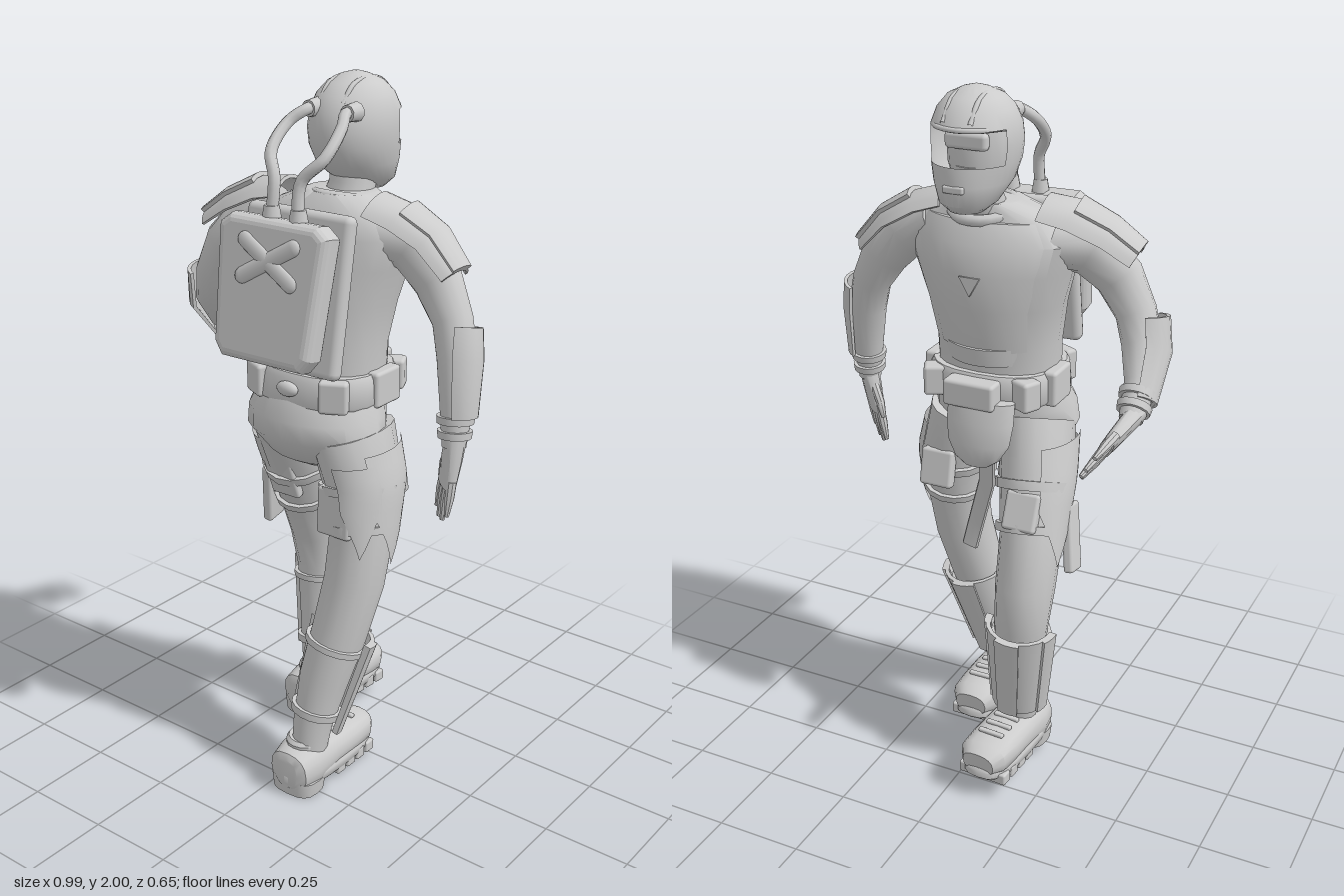
import * as THREE from 'three';
import { toCreasedNormals } from 'three/addons/utils/BufferGeometryUtils.js';
import { RoundedBoxGeometry } from 'three/addons/geometries/RoundedBoxGeometry.js';

const V = (x, y, z) => new THREE.Vector3(x, y, z);
const X = V(1, 0, 0), UP = V(0, 1, 0), Z = V(0, 0, 1);
const mat = new THREE.MeshStandardMaterial({ color: 0xcccccc, side: THREE.DoubleSide });

// Closed oval outline; power above 2 makes it boxier
function oval(n = 16, power = 2) {
  const f = (c) => Math.sign(c) * Math.abs(c) ** (2 / power);
  return Array.from({ length: n }, (_, i) => {
    const a = (i / n) * Math.PI * 2;
    return new THREE.Vector2(f(Math.cos(a)), f(Math.sin(a)));
  });
}

// Curved plate outline around the angle mid
function band(mid, half, thick = 0.1, n = 9) {
  const arc = (r) => Array.from({ length: n }, (_, i) => {
    const a = mid - half + (2 * half * i) / (n - 1);
    return new THREE.Vector2(r * Math.cos(a), r * Math.sin(a));
  });
  return [...arc(1), ...arc(1 - thick).reverse()];
}

// Skins an outline along sections [x, y, z, radiusU, radiusV]; U follows ref
function loft(sections, { ref = X, profile = oval(), axis = null, skip = null } = {}) {
  const n = profile.length, m = sections.length, pos = [], idx = [];
  const c = sections.map((s) => V(s[0], s[1], s[2]));
  c.forEach((p, i) => {
    const t = axis ? axis.clone() : c[Math.min(i + 1, m - 1)].clone().sub(c[Math.max(i - 1, 0)]).normalize();
    const u = ref.clone().addScaledVector(t, -ref.dot(t)).normalize();
    const v = t.clone().cross(u);
    for (const q of profile) {
      pos.push(...p.clone().addScaledVector(u, q.x * sections[i][3]).addScaledVector(v, q.y * sections[i][4]).toArray());
    }
  });
  for (let i = 0; i < m - 1; i++) for (let j = 0; j < n; j++) {
    if (skip && skip(i, j)) continue;
    const a = i * n + j, b = i * n + ((j + 1) % n);
    idx.push(a, b, a + n, b, b + n, a + n);
  }
  for (const [a, b, d] of THREE.ShapeUtils.triangulateShape(profile, [])) {
    idx.push(a, d, b);
    idx.push((m - 1) * n + a, (m - 1) * n + b, (m - 1) * n + d);
  }
  const g = new THREE.BufferGeometry();
  g.setAttribute('position', new THREE.Float32BufferAttribute(pos, 3));
  g.setIndex(idx);
  return toCreasedNormals(g, 0.75);
}

const mixSections = (a, b, t, grow = 0, scale = 1) => a.map((v, i) => (v + (b[i] - v) * t) * (i > 2 ? scale : 1) + (i > 2 ? grow : 0));

// Pointed cloth panel hugging a leg between two heights
function wrapPanel(s, top, bottom, mid, half) {
  const g = new THREE.PlaneGeometry(1, 1, 10, 8), p = g.attributes.position;
  for (let i = 0; i < p.count; i++) {
    const k = 0.5 - p.getY(i), y = top + (bottom - top) * k;
    const j = Math.max(0, s.findIndex((q) => q[1] > y) - 1);
    const [x, , z, rx, rz] = mixSections(s[j], s[j + 1], (y - s[j][1]) / (s[j + 1][1] - s[j][1]), 0.013);
    const a = mid + p.getX(i) * 2 * half * (k < 0.5 ? 1 : 2 * (1 - k));
    p.setXYZ(i, x + rx * Math.cos(a), y, z - rz * Math.sin(a));
  }
  g.computeVertexNormals();
  return g;
}

function add(parent, name, geometry, p = [0, 0, 0], r = [0, 0, 0]) {
  const mesh = new THREE.Mesh(geometry, mat);
  mesh.name = name;
  mesh.position.set(...p);
  mesh.rotation.set(...r);
  parent.add(mesh);
}
function group(parent, name) {
  const g = new THREE.Group();
  g.name = name;
  parent.add(g);
  return g;
}
const box = (w, h, d, r = 0.01) => new RoundedBoxGeometry(w, h, d, 2, r);
const tube = (pts, r) => new THREE.TubeGeometry(new THREE.CatmullRomCurve3(pts.map((p) => V(...p))), 24, r, 8);

// Palm, four fingers and a thumb
function hand(parent, wrist, along, across) {
  const h = group(parent, 'hand');
  along.normalize();
  across.addScaledVector(along, -across.dot(along)).normalize();
  const at = (l, w) => wrist.clone().addScaledVector(along, l).addScaledVector(across, w).toArray();
  add(h, 'palm', loft([[...at(-0.03, 0), 0.032, 0.027], [...at(0.03, 0), 0.042, 0.024], [...at(0.11, 0), 0.048, 0.018]],
    { ref: across, profile: oval(12, 3) }));
  const finger = (name, a, b, c) => add(h, name, loft([[...a, 0.014, 0.014], [...b, 0.013, 0.013], [...c, 0.007, 0.007]],
    { ref: across, profile: oval(8) }));
  for (let i = 0; i < 4; i++) {
    const w = (i - 1.5) * 0.025, len = [0.18, 0.205, 0.21, 0.195][i];
    finger('finger', at(0.085, w), at(len * 0.72, w * 1.2), at(len, w * 1.3));
  }
  finger('thumb', at(0.02, 0.025), at(0.07, 0.06), at(0.115, 0.068));
}

// Chunky round-heeled boot with toe pointing to -z and an arched, lugged sole
function boot(parent, x, y, z, yaw) {
  const b = group(parent, 'boot');
  b.position.set(x, y, z);
  b.rotation.y = yaw;
  add(b, 'bootUpper', loft([[0, 0.07, 0.128, 0.04, 0.045], [0, 0.07, 0.115, 0.064, 0.062], [0, 0.074, 0.06, 0.077, 0.07],
    [0, 0.084, -0.03, 0.077, 0.058], [0, 0.085, -0.12, 0.077, 0.054], [0, 0.085, -0.185, 0.073, 0.05], [0, 0.08, -0.218, 0.05, 0.036]],
  { profile: oval(16, 2.5) }));
  add(b, 'bootSole', loft([[0, 0.032, -0.047, 0.073, 0.17], [0, 0.038, -0.047, 0.078, 0.176], [0, 0.058, -0.047, 0.078, 0.176],
    [0, 0.066, -0.047, 0.074, 0.17]], { axis: UP, profile: oval(24, 3) }));
  add(b, 'heelBlock', loft([[0, 0, 0.07, 0.07, 0.055], [0, 0.045, 0.068, 0.076, 0.06]], { axis: UP, profile: oval(16, 3) }));
  for (let i = 0; i < 4; i++) add(b, 'treadLug', box(0.152, 0.035, 0.037, 0.006), [0, 0.032, -0.04 - i * 0.046]);
  for (let i = 0; i < 3; i++) add(b, 'bootLace', box(0.08, 0.012, 0.016, 0.005), [0, 0.141, -0.05 - i * 0.045]);
  add(b, 'ankleCuff', loft([[0, 0.1, 0.03, 0.055, 0.062], [0, 0.145, 0.03, 0.058, 0.064], [0, 0.155, 0.028, 0.052, 0.056]], { axis: UP }));
}

// Leg sections run from ankle to hip
function leg(parent, name, side, s) {
  const g = group(parent, name);
  add(g, 'trouserLeg', loft(s));
  const shin = (grow) => [0, 0.5, 1].map((t) => mixSections(s[1], s[3], t, grow, 1.08));
  const front = Math.PI / 2, outer = side > 0 ? 0 : Math.PI;
  add(g, 'shinGuard', loft(shin(0.018), { profile: band(front, 1.25, 0.12) }));
  add(g, 'shinRidge', loft(shin(0.028), { profile: band(front, 0.35, 0.2, 5) }));
  add(g, 'outerShinRail', loft(shin(0.026), { profile: band(outer + side * 0.25, 0.25, 0.2, 5) }));
  add(g, 'innerShinRail', loft(shin(0.022), { profile: band(Math.PI - outer - side * 0.25, 0.2, 0.2, 5) }));
  const strap = (a, t, h) => loft([0, h].map((k) => mixSections(s[a], s[a + 1], t + k, 0.012)));
  add(g, 'lowerShinStrap', strap(1, 0.2, 0.15));
  add(g, 'upperShinStrap', strap(2, 0.7, 0.12));
  add(g, 'lowerThighStrap', strap(5, 0.05, 0.14));
  add(g, 'upperThighStrap', strap(5, 0.75, 0.16));
  add(g, 'thighPanel', wrapPanel(s, 1.03, 0.7, outer + side * 0.2, 0.8));
  add(g, 'backThighPanel', wrapPanel(s, 1.0, 0.74, outer - side * 0.9, 0.5));
  return g;
}

function arm(parent, name, side, s, fore, plate) {
  const g = group(parent, name), ref = V(side, 0, 0), top = -side * Math.PI / 2;
  add(g, 'sleeve', loft(s, { ref }));
  add(g, 'forearmGuard', loft(fore, { ref, profile: band(0, 1.25, 0.16) }));
  const n = s.length - 1;
  for (const t of [0.25, 0.6]) {
    add(g, 'wristBand', loft([0, 0.18].map((k) => mixSections(s[n - 1], s[n], t + k, 0.01)), { ref }));
  }
  // layered shoulder armour
  add(g, 'shoulderPlate', loft(plate, { ref: Z, profile: band(top, 1.15, 0.13) }));
  add(g, 'shoulderRidge', loft(plate.slice(1).map((q) => mixSections(q, q, 0, 0.012)), { ref: Z, profile: band(top, 0.55, 0.18) }));
  return g;
}

export function createModel() {
  const model = new THREE.Group();
  model.name = 'armouredWalkingFigure';

  // Torso, hips and neck
  const body = group(model, 'body');
  add(body, 'hips', loft([[0, 0.94, 0.03, 0.05, 0.07], [0, 0.98, 0.055, 0.16, 0.12], [0, 1.05, 0.075, 0.215, 0.15],
    [0, 1.11, 0.07, 0.205, 0.163], [0, 1.19, 0.04, 0.175, 0.145]], { axis: UP, profile: oval(20) }));
  const torso = [[0, 1.17, 0.03, 0.17, 0.14], [0, 1.3, 0.025, 0.175, 0.133], [0, 1.42, 0.01, 0.195, 0.142], [0, 1.52, -0.003, 0.225, 0.138],
    [0, 1.6, -0.005, 0.245, 0.122], [0.01, 1.655, 0, 0.2, 0.1], [0.015, 1.7, -0.02, 0.1, 0.08]];
  add(body, 'torso', loft(torso, { axis: UP, profile: oval(20, 2.3) }));
  add(body, 'chestPlate', loft(torso.slice(1, 6).map(([x, y, z, a, b]) => [x, y, z, a * 0.96, b + 0.018]),
    { axis: UP, profile: band(Math.PI / 2, 1.2, 0.1, 13) }));
  add(body, 'chestInset', new THREE.CylinderGeometry(0.035, 0.035, 0.02, 3), [0, 1.5, -0.153], [Math.PI / 2, 0, 0]);
  add(body, 'abdomenPlate', loft([[0, 1.26, 0.02, 0.14, 0.15], [0, 1.31, 0.02, 0.15, 0.158]], { axis: UP, profile: band(Math.PI / 2, 0.8) }));
  add(body, 'neck', loft([[0.015, 1.64, -0.03, 0.075, 0.07], [0.018, 1.72, -0.065, 0.065, 0.062], [0.018, 1.8, -0.07, 0.065, 0.07]], { axis: UP }));
  add(body, 'collar', new THREE.TorusGeometry(0.085, 0.016, 8, 20), [0.016, 1.675, -0.035], [Math.PI / 2 - 0.2, 0, 0]);

  // Open-faced helmet over a recessed face with goggles
  const head = group(model, 'head');
  const hz = (y, back, front, rx) => [0.018, y, (back + front) / 2, rx, (back - front) / 2];
  add(head, 'helmet', loft([hz(1.69, -0.08, -0.18, 0.045), hz(1.715, -0.03, -0.208, 0.075), hz(1.765, 0.04, -0.213, 0.1),
    hz(1.815, 0.064, -0.21, 0.113), hz(1.86, 0.067, -0.206, 0.118), hz(1.905, 0.058, -0.204, 0.115), hz(1.945, 0.035, -0.183, 0.1),
    hz(1.975, 0, -0.15, 0.075), hz(1.993, -0.04, -0.11, 0.037), hz(2, -0.065, -0.085, 0.01)],
  { axis: UP, profile: oval(32), skip: (i, j) => (i === 3 || i === 4) && j >= 2 && j < 14 }));
  add(head, 'face', loft([hz(1.72, -0.03, -0.13, 0.05), hz(1.8, 0.02, -0.135, 0.085), hz(1.9, 0.02, -0.135, 0.09), hz(1.95, -0.02, -0.12, 0.06)], { axis: UP }));
  add(head, 'goggles', box(0.12, 0.045, 0.03, 0.012), [0.018, 1.868, -0.13]);
  add(head, 'browRim', tube([[-0.085, 1.905, -0.11], [-0.04, 1.908, -0.18], [0.018, 1.908, -0.2], [0.076, 1.908, -0.18], [0.121, 1.905, -0.11]], 0.007));
  add(head, 'mouthVent', box(0.06, 0.02, 0.02, 0.006), [0.018, 1.76, -0.206]);
  for (const x of [-0.02, 0.056]) {
    add(head, 'crownRidge', tube([[x, 1.93, 0.03], [x, 1.972, -0.01], [x, 1.985, -0.07], [x, 1.97, -0.14], [x, 1.92, -0.187]], 0.007));
  }

  // Backpack with back panel, crossed ribs and breathing hoses
  const pack = group(model, 'backpack');
  pack.position.set(0, 1.475, 0.25);
  pack.rotation.set(-0.17, 0.03, 0);
  const packShape = new THREE.Shape([[-0.12, -0.165], [0.115, -0.165], [0.13, -0.145], [0.15, 0.15], [0.13, 0.165], [-0.13, 0.165], [-0.15, 0.15], [-0.135, -0.145]]
    .map(([x, y]) => new THREE.Vector2(x, y)));
  add(pack, 'packShell', new THREE.ExtrudeGeometry(packShape, { depth: 0.025, bevelSize: 0.025, bevelThickness: 0.027, bevelSegments: 4 }), [0, 0, -0.0125]);
  add(pack, 'backPanel', box(0.34, 0.43, 0.045, 0.02), [0, 0, -0.09]);
  for (const s of [-1, 1]) {
    add(pack, 'crossRib', new THREE.CapsuleGeometry(0.022, 0.18, 4, 10).scale(1, 1, 0.5), [0, 0.08, 0.04], [0, 0, s * 1.03]);
    add(pack, 'packSpacer', box(0.05, 0.3, 0.06), [s * 0.09, 0, -0.055]);
  }
  const hoses = group(model, 'breathingHoses');
  for (const [x0, x1, x2] of [[-0.03, -0.06, -0.03], [0.095, 0.112, 0.058]]) {
    add(hoses, 'hose', tube([[x0, 1.915, 0.02], [x0, 1.915, 0.07], [x1, 1.885, 0.11], [x1, 1.82, 0.18], [x2, 1.76, 0.205], [x2, 1.65, 0.22]], 0.016));
    add(hoses, 'helmetFitting', new THREE.CylinderGeometry(0.022, 0.026, 0.04, 10), [x0, 1.915, 0.045], [Math.PI / 2, 0, 0]);
    add(hoses, 'packFitting', new THREE.CylinderGeometry(0.02, 0.026, 0.035, 8), [x2, 1.675, 0.217]);
  }

  // Belt with buckle, pouches and rounded front flap
  const belt = group(model, 'belt');
  add(belt, 'beltBand', loft([[0, 1.145, 0.035, 0.187, 0.163], [0, 1.155, 0.035, 0.193, 0.168], [0, 1.22, 0.03, 0.19, 0.163], [0, 1.235, 0.03, 0.182, 0.155]],
    { axis: UP, profile: oval(24, 2.5) }));
  add(belt, 'backBuckle', new THREE.SphereGeometry(0.035, 16, 10).scale(1, 0.6, 0.5), [0, 1.195, 0.2]);
  for (const s of [-1, 1]) {
    add(belt, 'sidePouch', box(0.04, 0.1, 0.11), [s * 0.18, 1.19, 0.01]);
    add(belt, 'backPouch', box(0.08, 0.09, 0.04), [s * 0.13, 1.19, 0.165], [0, s * 0.45, 0]);
    add(belt, 'frontPouch', box(0.08, 0.085, 0.06), [s * 0.13, 1.19, -0.095], [0, s * 0.45, 0]);
  }
  add(belt, 'frontBuckle', box(0.15, 0.075, 0.06), [0, 1.19, -0.15]);
  add(belt, 'frontFlap', loft([[-0.02, 0.985, -0.165, 0.035, 0.015], [-0.02, 1.005, -0.16, 0.065, 0.03], [-0.02, 1.05, -0.15, 0.092, 0.042],
    [-0.02, 1.11, -0.14, 0.1, 0.045], [-0.02, 1.17, -0.13, 0.1, 0.04]], { axis: UP }));

  // Legs: one stepping forward, one trailing
  const left = leg(model, 'leftLeg', -1, [[-0.12, 0.13, -0.09, 0.05, 0.052], [-0.125, 0.22, -0.1, 0.058, 0.058], [-0.135, 0.36, -0.125, 0.071, 0.071],
    [-0.148, 0.5, -0.14, 0.078, 0.075], [-0.157, 0.62, -0.135, 0.084, 0.09], [-0.152, 0.76, -0.085, 0.088, 0.097], [-0.135, 0.92, -0.02, 0.102, 0.115], [-0.115, 1.06, 0.04, 0.1, 0.13]]);
  const right = leg(model, 'rightLeg', 1, [[0.085, 0.1, 0.225, 0.05, 0.05], [0.09, 0.2, 0.21, 0.058, 0.056], [0.108, 0.34, 0.18, 0.073, 0.07],
    [0.135, 0.48, 0.145, 0.08, 0.08], [0.158, 0.64, 0.105, 0.085, 0.09], [0.165, 0.78, 0.08, 0.086, 0.1], [0.145, 0.93, 0.055, 0.103, 0.125], [0.115, 1.06, 0.06, 0.1, 0.14]]);
  boot(left, -0.115, 0.035, -0.108, -0.07);
  boot(right, 0.075, 0, 0.19, 0);

  // Thigh pouches, holster and hanging straps
  add(left, 'thighPouch', box(0.1, 0.11, 0.035), [-0.15, 0.86, -0.145], [0.4, 0, 0]);
  add(left, 'backThighPouch', box(0.1, 0.14, 0.03), [-0.135, 0.86, 0.06], [0.35, 0, 0]);
  add(left, 'holster', box(0.03, 0.2, 0.07), [-0.25, 0.75, -0.03], [0.2, 0, -0.15]);
  add(right, 'thighPouch', box(0.1, 0.11, 0.035), [0.15, 0.9, -0.07], [0.2, 0, 0]);
  add(right, 'backThighPouch', box(0.11, 0.14, 0.03), [0.14, 0.86, 0.17], [-0.05, 0, 0]);
  const strap = (pts) => loft(pts.map((p) => [...p, 0.025, 0.008]), { profile: oval(8, 4) });
  add(belt, 'hangingStrap', strap([[-0.02, 1.02, -0.1], [0.0, 0.88, -0.06], [0.055, 0.72, -0.02], [0.075, 0.64, -0.02]]));
  add(belt, 'hangingStrap', strap([[-0.02, 1.0, 0.08], [-0.03, 0.9, 0.0], [-0.065, 0.77, -0.03]]));

  // Arms: one bent with the hand forward, one hanging
  const leftArm = arm(model, 'leftArm', -1, [[-0.17, 1.61, 0.0, 0.075, 0.085], [-0.27, 1.58, 0.025, 0.08, 0.07], [-0.34, 1.51, 0.04, 0.068, 0.06],
    [-0.39, 1.42, 0.04, 0.056, 0.055], [-0.42, 1.34, 0.015, 0.055, 0.055], [-0.445, 1.26, -0.05, 0.045, 0.046], [-0.45, 1.19, -0.13, 0.032, 0.034]],
  [[-0.42, 1.42, 0.03, 0.066, 0.066], [-0.43, 1.33, 0.012, 0.072, 0.07], [-0.445, 1.22, -0.08, 0.055, 0.058]],
  [[-0.13, 1.645, 0, 0.1, 0.075], [-0.2, 1.625, 0.012, 0.1, 0.088], [-0.29, 1.585, 0.03, 0.085, 0.082], [-0.37, 1.54, 0.04, 0.072, 0.068]]);
  hand(leftArm, V(-0.45, 1.19, -0.13), V(0.05, -0.08, -0.17), V(0.5, -0.8, 0.25));
  const rightArm = arm(model, 'rightArm', 1, [[0.17, 1.61, -0.01, 0.075, 0.085], [0.26, 1.58, -0.02, 0.08, 0.072], [0.33, 1.5, -0.018, 0.068, 0.058],
    [0.385, 1.41, -0.005, 0.055, 0.053], [0.415, 1.32, 0.015, 0.054, 0.053], [0.43, 1.2, 0.035, 0.044, 0.045], [0.437, 1.09, 0.05, 0.032, 0.034]],
  [[0.41, 1.4, 0.0, 0.062, 0.06], [0.42, 1.32, 0.02, 0.07, 0.066], [0.437, 1.17, 0.04, 0.055, 0.056]],
  [[0.13, 1.64, 0, 0.095, 0.075], [0.2, 1.615, -0.012, 0.092, 0.08], [0.28, 1.57, -0.025, 0.08, 0.076], [0.36, 1.5, -0.02, 0.064, 0.06]]);
  hand(rightArm, V(0.437, 1.09, 0.05), V(-0.025, -0.2, 0.015), V(-0.65, 0, -0.6));

  return model;
}
